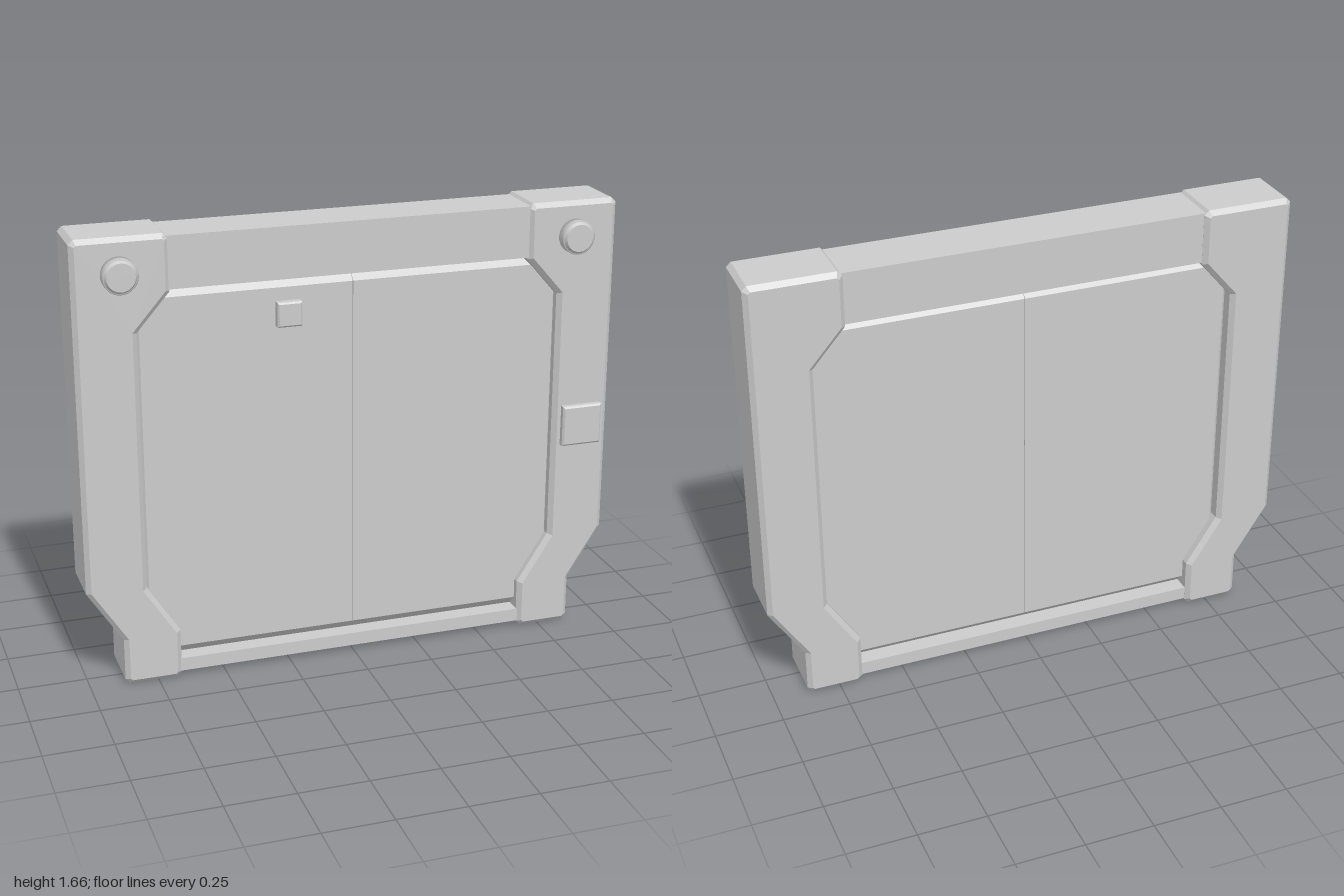
import * as THREE from 'three';

const flat = new THREE.MeshStandardMaterial({ color: 0xcccccc, flatShading: true });
const smooth = new THREE.MeshStandardMaterial({ color: 0xcccccc });
const MID_Z = -0.02; // middle of the frame's depth

function add(group, name, geometry, x = 0, y = 0, z = 0, material = flat) {
  const mesh = new THREE.Mesh(geometry, material);
  mesh.name = name;
  mesh.position.set(x, y, z);
  group.add(mesh);
  return mesh;
}

// Box centred on the origin, whose front and back rims are chamfered.
// left, right and vertical are the chamfer widths on those sides.
function chamferedBox(w, h, d, depth, left, right, vertical) {
  const g = new THREE.BoxGeometry(w, h, d, 1, 1, 3);
  const p = g.attributes.position;
  for (let i = 0; i < p.count; i++) {
    const x = p.getX(i), y = p.getY(i), z = p.getZ(i);
    if (Math.abs(z) > d * 0.4) {
      p.setX(i, x < 0 ? x + left : x - right);
      p.setY(i, y - Math.sign(y) * vertical);
    } else {
      p.setZ(i, Math.sign(z) * (d / 2 - depth));
    }
  }
  g.computeVertexNormals();
  return g;
}

// Side pillar outline, drawn for one side and mirrored for the other
function pillarGeometry(side) {
  const b = 0.017;
  const pts = [
    [0.68, 0], [0.855, 0], [0.872, 0.017], [0.872, 0.175], [1, 0.375], [1, 1.648], [0.983, 1.665],
    [0.677, 1.665], [0.66, 1.648], [0.66, 1.46], [0.78, 1.322], [0.78, 0.37], [0.662, 0.185], [0.662, 0.017],
  ].map(([x, y]) => new THREE.Vector2(side * x, y));
  if (side < 0) pts.reverse();
  const g = new THREE.ExtrudeGeometry(new THREE.Shape(pts), {
    depth: 0.235 - 2 * b, bevelEnabled: true, bevelThickness: b,
    bevelSize: b, bevelOffset: -b, bevelSegments: 1,
  });
  g.translate(0, 0, -0.14 + b);
  return g;
}

// Round stepped knob on top of a pillar
function knobGeometry() {
  const profile = [[0, 0], [0.063, 0], [0.063, 0.033], [0.058, 0.033], [0.058, 0.033],
    [0.05, 0.045], [0.05, 0.045], [0, 0.045]].map(([r, y]) => new THREE.Vector2(r, y));
  const parts = new THREE.LatheGeometry(profile, 32);
  parts.rotateX(Math.PI / 2);
  return parts;
}

export function createModel() {
  const model = new THREE.Group();
  model.name = 'slidingGate';

  // Pillars with a knob each
  for (const side of [-1, 1]) {
    const pillar = new THREE.Group();
    pillar.name = side > 0 ? 'leftPillar' : 'rightPillar';
    add(pillar, 'pillarBody', pillarGeometry(side));
    add(pillar, 'pillarKnob', knobGeometry(), side * 0.837, 1.538, 0.095, smooth);
    model.add(pillar);
  }

  // Top beam and bottom sill between the pillars
  add(model, 'topBeam', new THREE.BoxGeometry(1.4, 0.188, 0.204), 0, 1.561, MID_Z);
  add(model, 'bottomSill', new THREE.BoxGeometry(1.4, 0.05, 0.204), 0, 0.045, MID_Z);

  // Two door panels meeting at a central seam, chamfered along their outer edges
  const seam = 0.005, doorHeight = 1.4, doorWidth = 0.81;
  for (const side of [-1, 1]) {
    const c = 0.038;
    const g = chamferedBox(doorWidth, doorHeight, 0.15, c, side < 0 ? c : 0.001, side > 0 ? c : 0.001, c);
    add(model, side > 0 ? 'leftDoor' : 'rightDoor', g, seam + side * doorWidth / 2, 0.77, MID_Z);
  }

  // Control plate on the left pillar and small plate on the right door
  add(model, 'controlPlate', chamferedBox(0.155, 0.155, 0.06, 0.007, 0.007, 0.007, 0.007), 0.888, 0.812, 0.09);
  add(model, 'doorPlate', chamferedBox(0.09, 0.09, 0.06, 0.006, 0.006, 0.006, 0.006), -0.235, 1.338, 0.056);

  return model;
}
